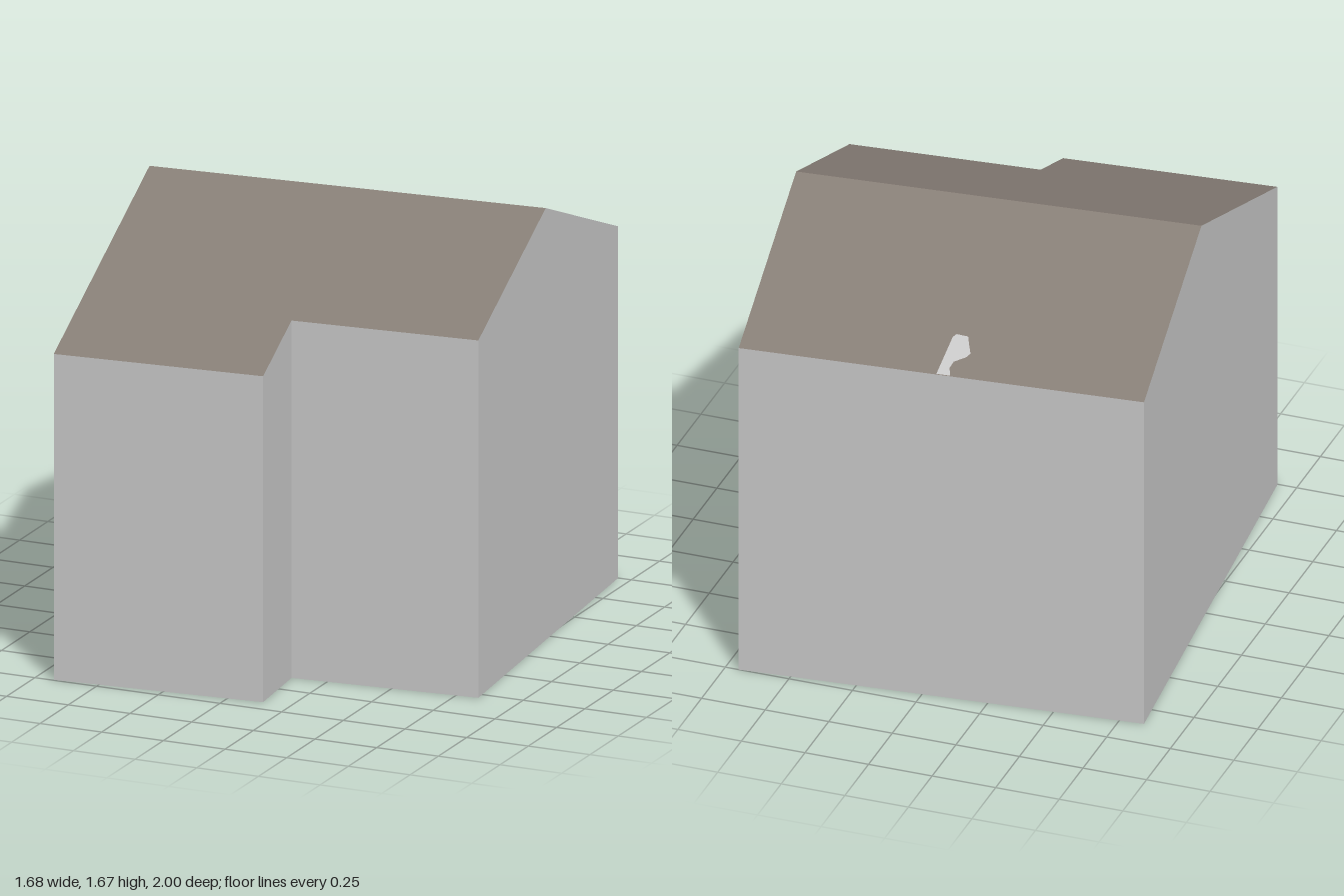
import * as THREE from 'three';

// House plan in its own square frame: x along the ridge, z across it.
const LEFT = -0.763, RIGHT = 0.785, BACK = -0.933, FRONT = 0.93;
const STEP_X = 0.055, STEP_Z = 0.616;
const RIDGE_Z = -0.13, RIDGE_Y = 1.67, PITCH = 0.387;
const TURN = 0.0907;

const roofHeight = (z) => RIDGE_Y - PITCH * Math.abs(z - RIDGE_Z);

// Flat outline laid on the pitched roof, facing up
function roofPanel(outline, material, name, lift = 0) {
  const shape = new THREE.Shape(outline.map(([x, z]) => new THREE.Vector2(x, -z)));
  const geo = new THREE.ShapeGeometry(shape).rotateX(-Math.PI / 2);
  const pos = geo.attributes.position;
  for (let i = 0; i < pos.count; i++) pos.setY(i, roofHeight(pos.getZ(i)) + lift);
  geo.computeVertexNormals();
  const mesh = new THREE.Mesh(geo, material);
  mesh.name = name;
  return mesh;
}

export function createModel() {
  const wallGrey = new THREE.MeshStandardMaterial({ name: 'wallGrey', color: 0xc8c8c8 });
  const roofBrown = new THREE.MeshStandardMaterial({ name: 'roofBrown', color: 0x877e76 });

  const house = new THREE.Group();
  house.name = 'house';
  house.rotation.y = TURN;

  // Footprint, with a point under each end of the ridge
  const plan = [
    [LEFT, BACK], [RIGHT, BACK], [RIGHT, RIDGE_Z], [RIGHT, STEP_Z],
    [STEP_X, STEP_Z], [STEP_X, FRONT], [LEFT, FRONT], [LEFT, RIDGE_Z],
  ];

  // Walls rise from the footprint to the roof
  const verts = [];
  plan.forEach(([ax, az], i) => {
    const [bx, bz] = plan[(i + 1) % plan.length];
    const a = [ax, 0, az], b = [bx, 0, bz];
    const ta = [ax, roofHeight(az), az], tb = [bx, roofHeight(bz), bz];
    verts.push(...a, ...ta, ...tb, ...a, ...tb, ...b);
  });
  const wallGeo = new THREE.BufferGeometry();
  wallGeo.setAttribute('position', new THREE.Float32BufferAttribute(verts, 3));
  wallGeo.computeVertexNormals();
  const walls = new THREE.Mesh(wallGeo, wallGrey);
  walls.name = 'walls';

  // Floor closes the underside
  const floorShape = new THREE.Shape(plan.map(([x, z]) => new THREE.Vector2(x, z)));
  const floor = new THREE.Mesh(new THREE.ShapeGeometry(floorShape).rotateX(Math.PI / 2), wallGrey);
  floor.name = 'floor';

  // Two roof slopes meeting at the ridge
  const backSlope = roofPanel(
    [[LEFT, BACK], [RIGHT, BACK], [RIGHT, RIDGE_Z], [LEFT, RIDGE_Z]], roofBrown, 'backRoofSlope');
  const frontSlope = roofPanel(
    [[LEFT, RIDGE_Z], [RIGHT, RIDGE_Z], [RIGHT, STEP_Z], [STEP_X, STEP_Z], [STEP_X, FRONT], [LEFT, FRONT]],
    roofBrown, 'frontRoofSlope');

  // Small pale patch at the back eave
  const patch = roofPanel([
    [-0.023, BACK], [0.03, BACK], [0.014, -0.762], [0.003, -0.748], [-0.042, -0.752],
    [-0.058, -0.794], [-0.071, -0.825], [-0.059, -0.844], [-0.019, -0.87], [-0.011, -0.9],
  ], wallGrey, 'roofPatch', 0.003);

  house.add(walls, floor, backSlope, frontSlope, patch);

  const model = new THREE.Group();
  model.name = 'building';
  model.add(house);
  return model;
}
